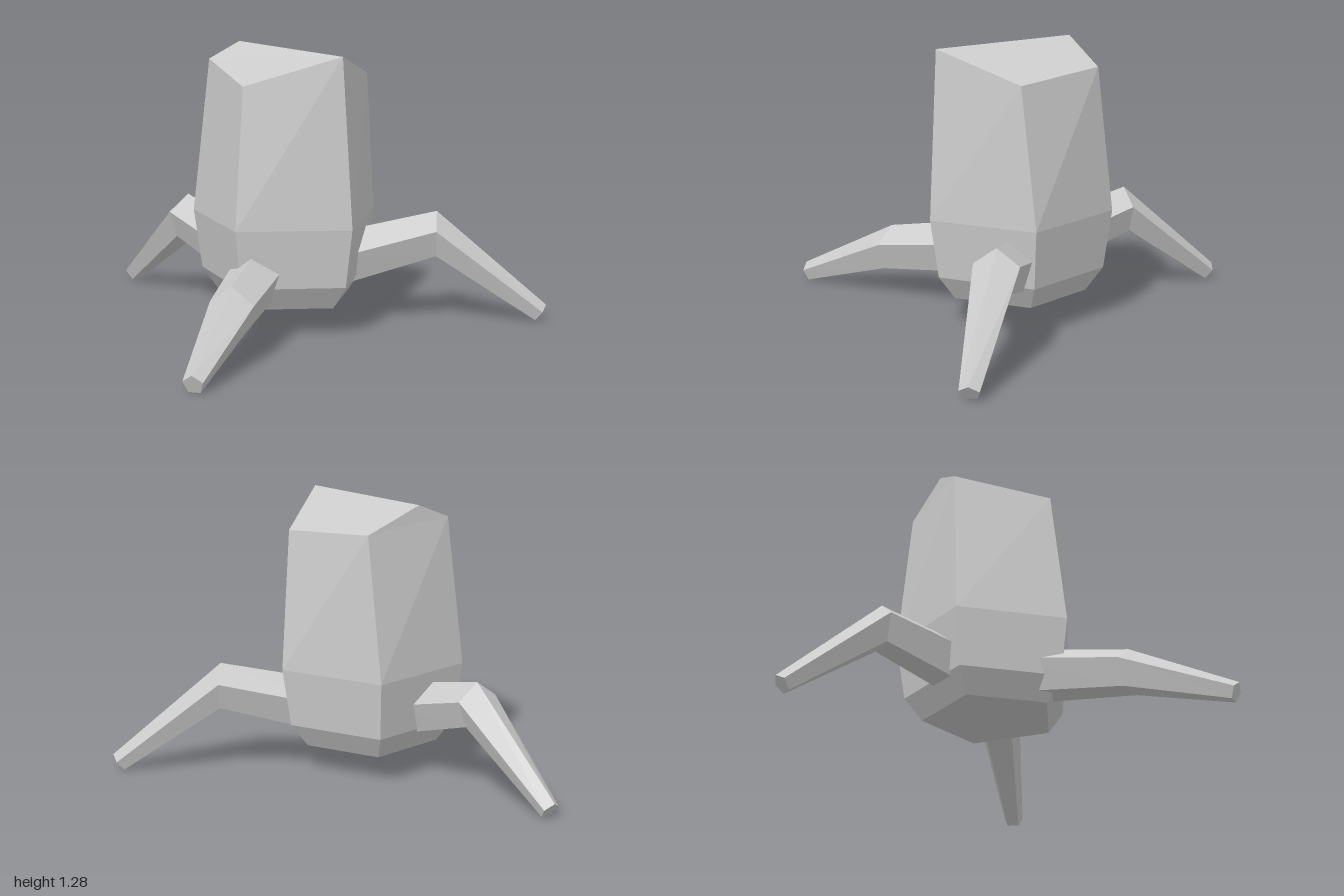
import * as THREE from 'three';

const V = (x, y, z) => new THREE.Vector3(x, y, z);
const material = new THREE.MeshStandardMaterial({ color: 0xcccccc, flatShading: true });

// Flat mesh from convex polygons, each a list of corners wound counter-clockwise
function polygonMesh(name, polygons) {
  const points = [];
  for (const p of polygons) {
    for (let i = 1; i < p.length - 1; i++) points.push(p[0], p[i], p[i + 1]);
  }
  const geometry = new THREE.BufferGeometry().setFromPoints(points);
  geometry.computeVertexNormals();
  const mesh = new THREE.Mesh(geometry, material);
  mesh.name = name;
  return mesh;
}

// Side quads joining successive rings, plus a cap on the first ring
function loft(rings) {
  const polygons = [[...rings[0]].reverse()];
  for (let r = 0; r < rings.length - 1; r++) {
    const a = rings[r], b = rings[r + 1];
    a.forEach((p, i) => {
      const j = (i + 1) % a.length;
      polygons.push([p, a[j], b[j], b[i]]);
    });
  }
  return polygons;
}

// Five-sided body with a two-slope roof
function makeBody() {
  const ring = (y, radius) => Array.from({ length: 5 }, (_, i) => {
    const a = (i * Math.PI * 2) / 5;
    return V(0.05 + radius * Math.sin(a), y, 0.18 + radius * Math.cos(a));
  });
  const front = V(0.03, 1.267, 0.57);
  const left = V(0.39, 1.14, 0.345);
  const backLeft = V(0.31, 1.17, -0.095);
  const backRight = V(-0.14, 1.2, -0.143);
  const right = V(-0.3, 1.135, 0.285);
  const ridgeBack = V(0.02, 1.27, -0.12);
  const polygons = loft([
    ring(0.12, 0.318), ring(0.23, 0.4), ring(0.5, 0.44),
    [front, left, backLeft, backRight, right],
  ]);
  polygons.push(
    [backLeft, backRight, ridgeBack],
    [front, left, backLeft, ridgeBack],
    [front, ridgeBack, backRight, right],
  );
  return polygonMesh('body', polygons);
}

// Pentagonal section facing along a direction, one corner up
function legRing(centre, direction, radius) {
  const side = V(0, 1, 0).cross(direction).normalize();
  const up = direction.clone().cross(side).normalize();
  return Array.from({ length: 5 }, (_, i) => {
    const a = Math.PI / 2 + (i * Math.PI * 2) / 5;
    return centre.clone()
      .addScaledVector(side, radius * Math.cos(a))
      .addScaledVector(up, radius * Math.sin(a));
  });
}

// Bent, tapering leg: root inside the body, knee, tip on the ground
function makeLeg({ name, root, knee, tip, kneeAngle }) {
  const a = THREE.MathUtils.degToRad(kneeAngle);
  const upper = knee.clone().sub(root).setY(0).normalize();
  const lower = tip.clone().sub(knee).normalize();
  const rings = [
    legRing(root, upper, 0.13),
    legRing(knee, V(Math.cos(a), 0, Math.sin(a)), 0.11),
    legRing(tip, lower, 0.047),
  ];
  return polygonMesh(name, [...loft(rings), rings[2]]);
}

export function createModel() {
  const model = new THREE.Group();
  model.name = 'threeLeggedFigure';
  model.add(makeBody());
  const legs = [
    { name: 'leftLeg', root: V(0.23, 0.28, 0.31), knee: V(0.607, 0.395, 0.592), tip: V(0.965, 0.027, 0.918), kneeAngle: 46 },
    { name: 'rightLeg', root: V(-0.13, 0.28, 0.225), knee: V(-0.555, 0.215, 0.515), tip: V(-0.97, 0.03, 0.767), kneeAngle: 156 },
    { name: 'backLeg', root: V(-0.025, 0.28, 0), knee: V(-0.023, 0.395, -0.451), tip: V(0.002, 0.027, -0.922), kneeAngle: -83 },
  ];
  for (const leg of legs) model.add(makeLeg(leg));
  return model;
}
